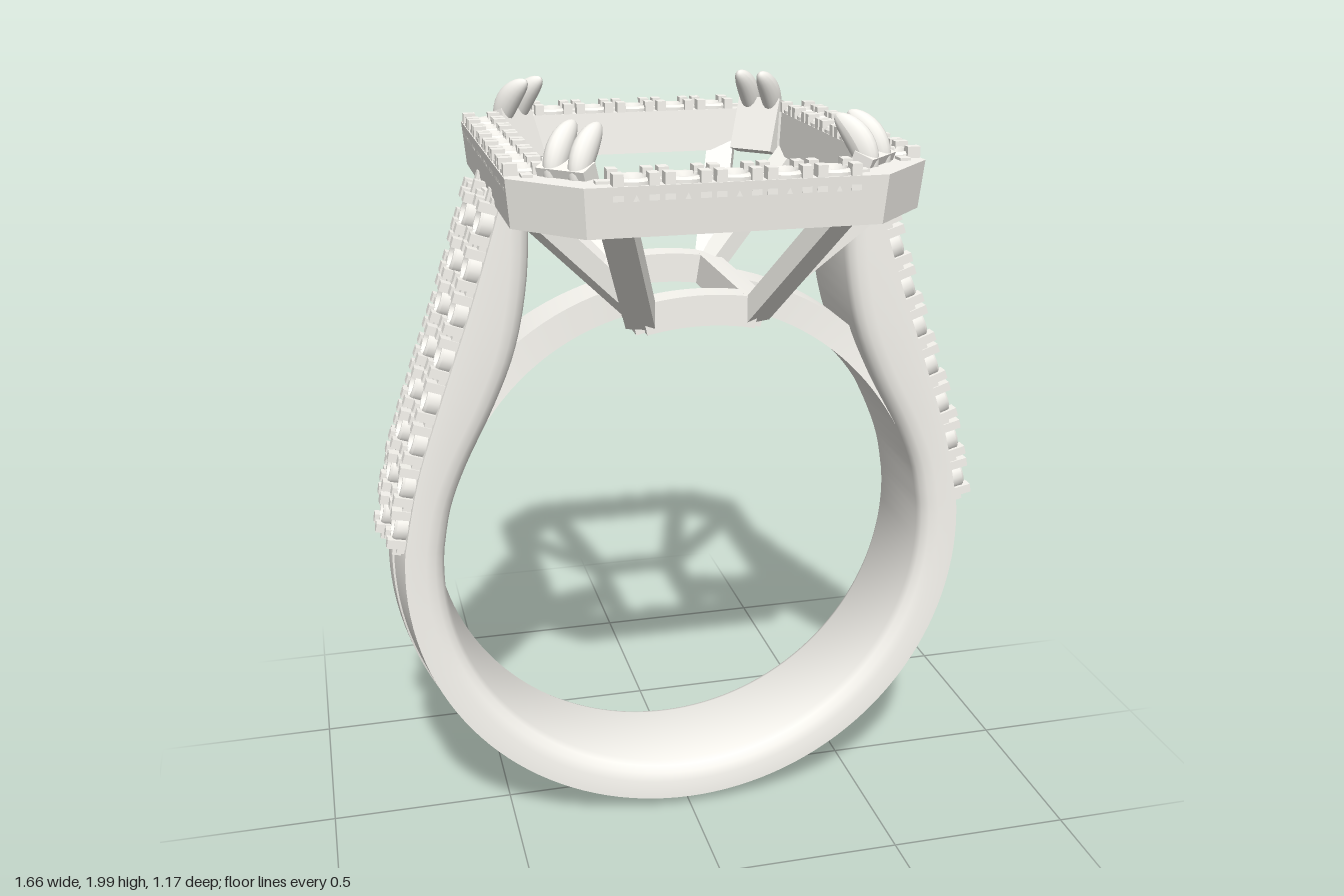
import * as THREE from 'three';
import { toCreasedNormals } from 'three/addons/utils/BufferGeometryUtils.js';

const material = new THREE.MeshStandardMaterial({ color: 0xf8f6f0 });   // pale silver
const V2 = (x, y) => new THREE.Vector2(x, y);
const V3 = (x, y, z) => new THREE.Vector3(x, y, z);
const CY = 0.795, R_IN = 0.661, R_OUT = 0.795, R_ARCH = 0.74;   // finger hole centre and radii

function add(parent, name, geometry, x = 0, y = 0, z = 0) {
  const mesh = new THREE.Mesh(geometry, material);
  mesh.name = name;
  mesh.position.set(x, y, z);
  parent.add(mesh);
  return mesh;
}

// Skin over a row of equal closed cross-sections, capped at both ends
function loft(rings) {
  const n = rings[0].length, pos = [], index = [];
  rings.forEach(r => r.forEach(p => pos.push(p.x, p.y, p.z)));
  for (let i = 0; i < rings.length - 1; i++) {
    for (let j = 0; j < n; j++) {
      const a = i * n + j, b = i * n + (j + 1) % n;
      index.push(a, b, a + n, b, b + n, a + n);
    }
  }
  const last = (rings.length - 1) * n;
  for (let j = 1; j < n - 1; j++) {
    index.push(0, j + 1, j, last, last + j, last + j + 1);
  }
  const g = new THREE.BufferGeometry();
  g.setAttribute('position', new THREE.Float32BufferAttribute(pos, 3));
  g.setIndex(index);
  return toCreasedNormals(g, 0.6);
}

const polar = (r, a) => V2(r * Math.cos(a), CY + r * Math.sin(a));
const A0 = 0.105;                                // angle where the shoulder starts
const shoulderOuter = new THREE.SplineCurve([polar(R_OUT, A0), V2(0.745, 1.08), V2(0.67, 1.3), V2(0.59, 1.52), V2(0.505, 1.78)]);
const shoulderInner = new THREE.SplineCurve([polar(R_IN, A0), polar(R_IN, 0.28), polar(R_IN, 0.47),
  V2(0.51, 1.25), V2(0.45, 1.4), V2(0.415, 1.58), V2(0.405, 1.78)]);

// Band section: faint centre ridge outside, rounded inside edges
function shankRing(inner, outer) {
  const dir = outer.clone().sub(inner).normalize(), len = outer.distanceTo(inner);
  const section = [[len - 0.03, 0.175], [len - 0.011, 0.055], [len - 0.006, 0.052], [len, 0], [len - 0.006, -0.052],
    [len - 0.011, -0.055], [len - 0.03, -0.175], [0.05, -0.175], [0.025, -0.168], [0.008, -0.155], [0, -0.135],
    [0, 0.135], [0.008, 0.155], [0.025, 0.168], [0.05, 0.175]];
  return section.map(([d, z]) => V3(inner.x + dir.x * d, inner.y + dir.y * d, z));
}

function makeShank() {
  const half = [];
  for (let i = 0; i <= 36; i++) {
    const a = -Math.PI / 2 + (A0 + Math.PI / 2) * i / 36;
    half.push([polar(R_IN, a), polar(R_OUT, a)]);
  }
  for (let i = 1; i <= 24; i++) half.push([shoulderInner.getPoint(i / 24), shoulderOuter.getPoint(i / 24)]);
  const flip = half.slice(1).reverse().map(pair => pair.map(p => V2(-p.x, p.y)));
  return loft([...flip, ...half].map(([a, b]) => shankRing(a, b)));
}

// Curved bar concentric with the finger hole; halfWidth is a function of 0..1
function arcBar(a0, a1, halfWidth) {
  const rings = [];
  for (let i = 0; i <= 20; i++) {
    const t = i / 20, a = a0 + t * (a1 - a0), w = halfWidth(t), p = polar(R_IN, a), q = polar(R_ARCH, a);
    rings.push([V3(q.x, q.y, w), V3(q.x, q.y, -w), V3(p.x, p.y, -w), V3(p.x, p.y, w)]);
  }
  return loft(rings);
}

// Rectangle with cut corners
function octagon(Type, x, z, cx, cz) {
  return new Type([V2(x, -z + cz), V2(x, z - cz), V2(x - cx, z), V2(-x + cx, z), V2(-x, z - cz), V2(-x, -z + cz), V2(-x + cx, -z), V2(x - cx, -z)]);
}

// One stone seat with its shared pegs; local y points out of the metal
const cup = toCreasedNormals(new THREE.LatheGeometry(
  [V2(0.049, -0.03), V2(0.049, 0.012), V2(0.043, 0.018), V2(0.036, 0.018), V2(0.028, 0.002), V2(0.025, -0.01), V2(0, -0.01)], 16), 0.4);
const peg = new THREE.BoxGeometry(0.024, 0.06, 0.032);
const bridge = new THREE.BoxGeometry(0.05, 0.045, 0.026);
const rail = new THREE.BoxGeometry(0.03, 0.04, 0.09);

function stoneSeat(pitch) {
  const seat = new THREE.Group();
  seat.name = 'stoneSeat';
  add(seat, 'seatCup', cup);
  for (const s of [-1, 1]) {
    add(seat, 'seatBridge', bridge, s * pitch / 2, -0.012, 0);
    add(seat, 'seatRail', rail, s * (pitch / 2 - 0.008), -0.017, 0);
    for (const t of [-1, 1]) add(seat, 'seatPeg', peg, s * (pitch / 2 - 0.018), 0.001, t * 0.033);
  }
  return seat;
}

// Three rows of eight seats on one shoulder
function makeShoulderPave() {
  const pave = new THREE.Group();
  pave.name = 'shoulderSeats';
  for (const row of [-1, 0, 1]) {
    for (let i = 0; i < 8; i++) {
      const u = (i + (row ? 0.56 : 0.5)) / 8.1;
      const p = shoulderOuter.getPointAt(u), t = shoulderOuter.getTangentAt(u);
      const drop = row ? -0.012 : 0.008, seat = stoneSeat(0.117);
      seat.position.set(p.x + t.y * drop, p.y - t.x * drop, row * 0.118);
      seat.rotation.z = Math.atan2(-t.x, t.y) - Math.PI / 2;
      pave.add(seat);
    }
  }
  return pave;
}

// Petal-shaped claw, bent inwards at both ends
function makeClaw() {
  const g = new THREE.SphereGeometry(1, 16, 14).scale(0.028, 0.086, 0.034);
  const p = g.attributes.position;
  for (let i = 0; i < p.count; i++) p.setZ(i, p.getZ(i) - 2.5 * p.getY(i) ** 2);
  g.computeVertexNormals();
  return g.rotateX(-0.6);
}
const claw = makeClaw();

// Leaning plate and twin claws gripping one corner of the centre stone
function makeCornerProng() {
  const prong = new THREE.Group();
  prong.name = 'cornerProng';
  const plate = add(prong, 'prongPlate', new THREE.BoxGeometry(0.13, 0.15, 0.05), 0, 1.835, -0.02);
  plate.rotation.x = 0.35;
  for (const s of [-1, 1]) add(prong, 'claw', claw, s * 0.034, 1.929, -0.018);
  return prong;
}

function strut(parent, from, to, w, h) {
  const mid = from.clone().add(to).multiplyScalar(0.5);
  const mesh = add(parent, 'basketStrut', new THREE.BoxGeometry(w, h, from.distanceTo(to)), mid.x, mid.y, mid.z);
  mesh.lookAt(to);
}

// Halo wall, slightly narrower at the bottom
function makeHaloFrame() {
  const shape = octagon(THREE.Shape, 0.5, 0.585, 0.15, 0.155);
  shape.holes.push(octagon(THREE.Path, 0.4, 0.485, 0.1, 0.105));
  const g = new THREE.ExtrudeGeometry(shape, { depth: 0.115, bevelEnabled: false }).rotateX(-Math.PI / 2);
  const p = g.attributes.position;
  for (let i = 0; i < p.count; i++) {
    if (p.getY(i) < 0.01) p.setXYZ(i, p.getX(i) * 0.98, p.getY(i), p.getZ(i) * 0.98);
  }
  g.computeVertexNormals();
  return g;
}

function makeHead() {
  const head = new THREE.Group();
  head.name = 'head';
  add(head, 'haloFrame', makeHaloFrame(), 0, 1.762, 0);

  // Seats along the four straight sides of the halo
  for (const s of [-1, 1]) {
    for (let i = -3; i <= 3; i++) {
      const seat = stoneSeat(0.1165);
      seat.position.set(s * 0.449, 1.873, i * 0.1165);
      seat.rotation.y = Math.PI / 2;
      head.add(seat);
    }
    for (let i = -2; i <= 2; i++) {
      const seat = stoneSeat(0.1165);
      seat.position.set(i * 0.1165, 1.873, s * 0.534);
      head.add(seat);
    }
  }

  // Open basket base following the finger hole
  const crossBar = arcBar(1.36, Math.PI - 1.36, () => 0.035);
  const sideBar = arcBar(1.325, 1.415, () => 0.235);
  for (const s of [-1, 1]) {
    add(head, 'basketCrossBar', crossBar, 0, 0, s * 0.225);
    add(head, 'basketSideBar', sideBar).rotation.y = s > 0 ? 0 : Math.PI;
  }

  // Forked struts and prongs at each corner
  for (const sx of [-1, 1]) {
    for (const sz of [-1, 1]) {
      strut(head, V3(sx * 0.145, 1.47, sz * 0.225), V3(sx * 0.265, 1.79, sz * 0.525), 0.075, 0.05);
      strut(head, V3(sx * 0.14, 1.48, sz * 0.22), V3(sx * 0.445, 1.79, sz * 0.365), 0.065, 0.05);
      const prong = makeCornerProng();
      prong.position.set(sx * 0.362, 0, sz * 0.445);
      prong.rotation.y = Math.atan2(sx, sz);
      head.add(prong);
    }
  }
  return head;
}

export function createModel() {
  const ring = new THREE.Group();
  ring.name = 'ring';
  add(ring, 'shank', makeShank());
  for (const turn of [0, Math.PI]) {
    const side = new THREE.Group();
    side.name = turn ? 'rightShoulder' : 'leftShoulder';
    side.rotation.y = turn;
    add(side, 'arch', arcBar(0.4, 1.4, t => 0.062 + 0.07 * (1 - t) ** 2));
    side.add(makeShoulderPave());
    ring.add(side);
  }
  ring.add(makeHead());
  return ring;
}
